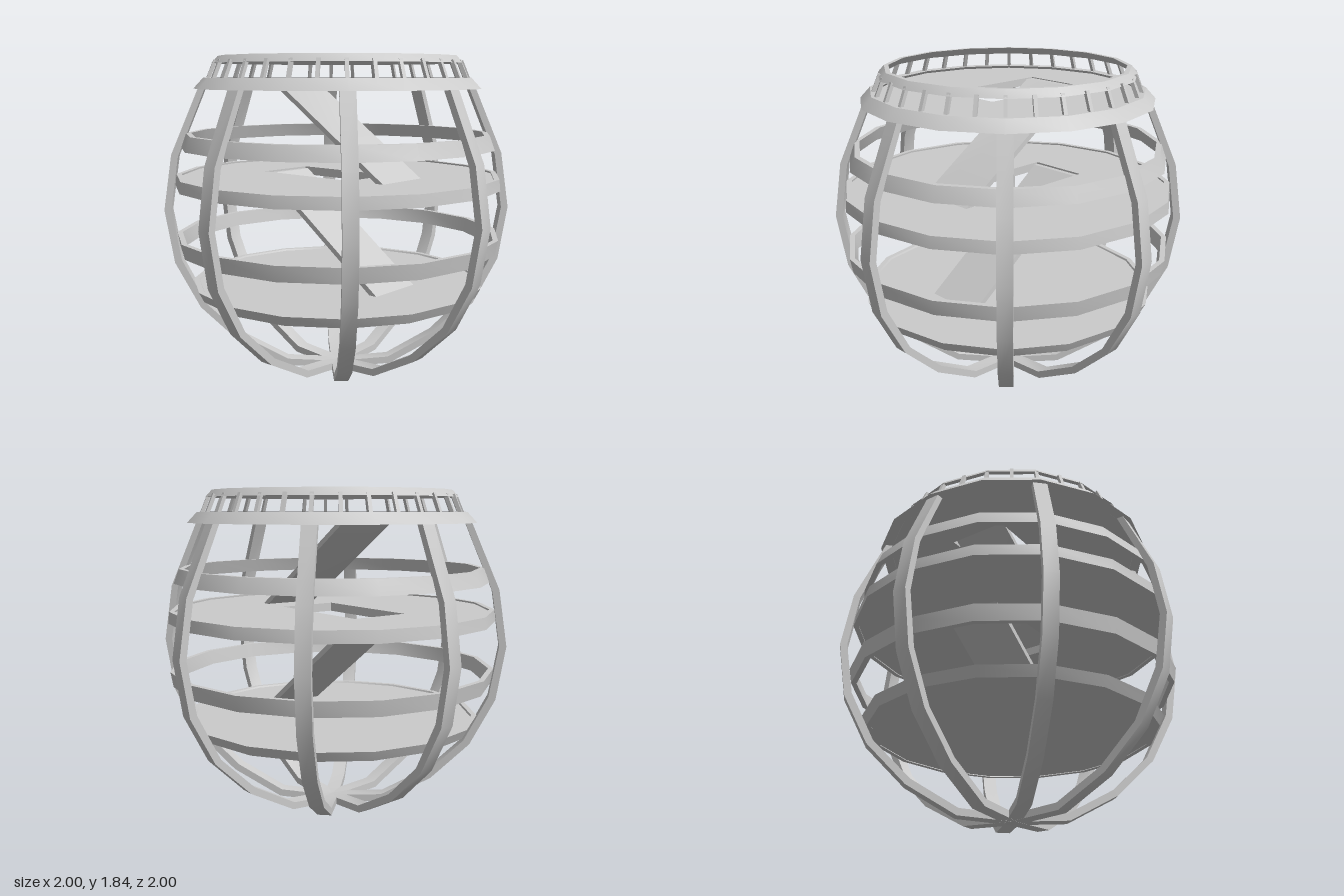
import * as THREE from 'three';
import { toCreasedNormals } from 'three/addons/utils/BufferGeometryUtils.js';

const SIDES = 16;
const material = new THREE.MeshStandardMaterial({ color: 0xcccccc, side: THREE.DoubleSide });

function part(name, geometry, parent) {
  const mesh = new THREE.Mesh(toCreasedNormals(geometry, 0.6), material);
  mesh.name = name;
  parent.add(mesh);
  return mesh;
}

const polygon = (points) => new THREE.Shape(points.map(([x, y]) => new THREE.Vector2(x, y)));

// Sloped band swept round the vertical axis
function ring(name, y0, r0, y1, r1, thick, parent) {
  const profile = [[r0, y0], [r1, y1], [r1 - thick, y1], [r0 - thick, y0], [r0, y0]];
  return part(name, new THREE.LatheGeometry(profile.map(([r, y]) => new THREE.Vector2(r, y)), SIDES), parent);
}

// Many-sided deck with an optional rectangular stairwell
function deck(name, radius, y0, y1, hole, parent) {
  const rim = [];
  for (let i = 0; i < SIDES; i++) {
    const a = (i / SIDES) * Math.PI * 2;
    rim.push([radius * Math.cos(a), radius * Math.sin(a)]);
  }
  const shape = polygon(rim);
  if (hole) {
    const [a, b] = hole;
    shape.holes.push(polygon([[a, -0.175], [a, 0.175], [b, 0.175], [b, -0.175]]));
  }
  const geometry = new THREE.ExtrudeGeometry(shape, { depth: y1 - y0, bevelEnabled: false });
  geometry.rotateX(-Math.PI / 2);
  geometry.translate(0, y0, 0);
  return part(name, geometry, parent);
}

// Thin ramp, its ends cut level with the decks
function ramp(name, footX, footY, headX, headY, parent) {
  const w = 0.05;
  const shape = polygon([[footX, footY], [footX + w, footY], [headX + w, headY], [headX, headY]]);
  const geometry = new THREE.ExtrudeGeometry(shape, { depth: 0.34, bevelEnabled: false });
  geometry.translate(0, 0, -0.17);
  return part(name, geometry, parent);
}

export function createModel() {
  const model = new THREE.Group();
  model.name = 'sphericalTower';

  // Curved ribs meeting at the foot
  const outer = [[0, 0], [0.31, 0.02], [0.59, 0.175], [0.81, 0.39], [0.95, 0.66], [1, 0.97], [0.95, 1.29], [0.785, 1.67]];
  const inner = [[0, 0.04], [0.3, 0.06], [0.565, 0.207], [0.775, 0.41], [0.91, 0.675], [0.96, 0.97], [0.912, 1.28], [0.747, 1.67]];
  const ribGeometry = new THREE.ExtrudeGeometry(polygon([...outer, ...inner.slice().reverse()]), { depth: 0.08, bevelEnabled: false });
  ribGeometry.translate(0, 0, -0.04);
  const ribs = new THREE.Group();
  ribs.name = 'ribs';
  for (let i = 0; i < 8; i++) part('rib', ribGeometry, ribs).rotation.y = (i * Math.PI) / 4;
  model.add(ribs);

  // Hoops: two deck edges and two guard rails
  ring('lowerDeckEdge', 0.5, 0.82, 0.555, 0.848, 0.03, model);
  ring('lowerGuardRail', 0.75, 0.92, 0.835, 0.935, 0.03, model);
  ring('middleDeckEdge', 1.11, 0.937, 1.175, 0.93, 0.03, model);
  ring('upperGuardRail', 1.33, 0.9, 1.41, 0.87, 0.03, model);

  // Decks
  deck('lowerDeck', 0.815, 0.505, 0.545, null, model);
  deck('middleDeck', 0.91, 1.115, 1.165, [-0.43, 0.24], model);
  deck('topDeck', 0.76, 1.662, 1.705, [-0.375, 0.28], model);

  // Ramps between decks
  ramp('lowerRamp', 0.38, 0.545, -0.45, 1.155, model);
  ramp('upperRamp', 0.425, 1.16, -0.375, 1.7, model);

  // Collar and parapet
  ring('collar', 1.66, 0.818, 1.72, 0.762, 0.06, model);
  ring('parapetRail', 1.8, 0.713, 1.84, 0.678, 0.025, model);
  const parapet = new THREE.Group();
  parapet.name = 'parapetPosts';
  const postGeometry = new THREE.BoxGeometry(0.02, 0.115, 0.02);
  postGeometry.rotateX(-0.4);
  postGeometry.translate(0, 1.76, 0.715);
  for (let i = 0; i < 32; i++) part('parapetPost', postGeometry, parapet).rotation.y = (i * Math.PI) / 16;
  model.add(parapet);

  return model;
}
